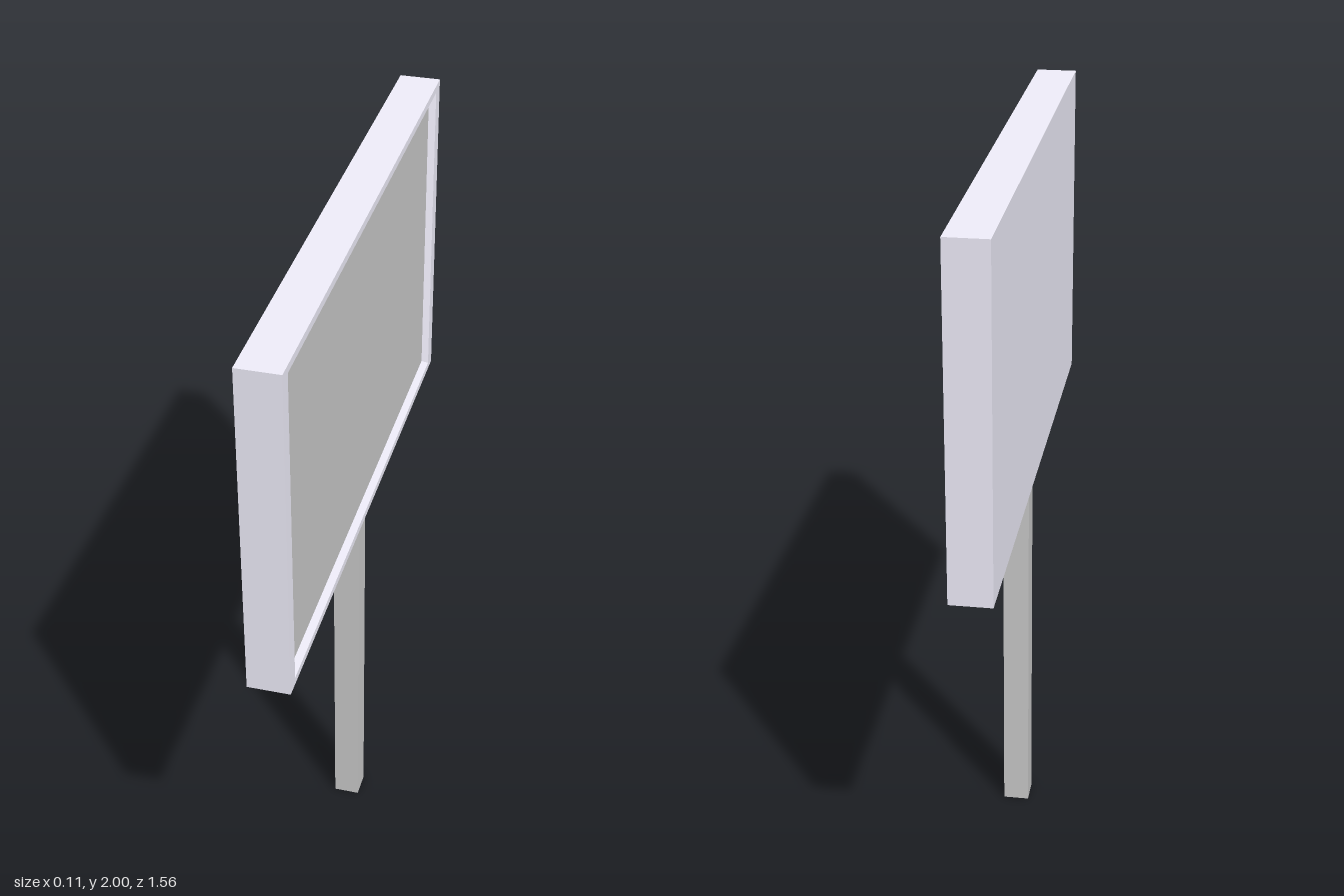
import * as THREE from 'three';

const FACE = 0.056, DEPTH = 0.015; // half thickness of the board, depth of the recess

// Rectangular loop at a given x, counter-clockwise seen from +x
const loop = (x, zLeft, zRight, y0, y1) => [
  [x, y0, zLeft], [x, y0, zRight], [x, y1, zRight], [x, y1, zLeft],
];

function quads(list) {
  const pos = [];
  for (const [a, b, c, d] of list) pos.push(...a, ...b, ...c, ...a, ...c, ...d);
  const geo = new THREE.BufferGeometry();
  geo.setAttribute('position', new THREE.Float32BufferAttribute(pos, 3));
  geo.computeVertexNormals();
  return geo;
}

export function createModel() {
  const group = new THREE.Group();
  const add = (name, geo, color) => {
    const mesh = new THREE.Mesh(geo, new THREE.MeshStandardMaterial({ color }));
    mesh.name = name;
    group.add(mesh);
    return mesh;
  };

  // Board casing: back edge, front edge, opening, and the bevelled recess bottom
  const loops = [
    loop(-FACE, 0.78, -0.78, 1.08, 2),
    loop(FACE, 0.78, -0.78, 1.08, 2),
    loop(FACE, 0.74, -0.735, 1.1, 1.98),
    loop(FACE - DEPTH, 0.74, -0.71, 1.12, 1.98),
  ];
  const faces = [[...loops[0]].reverse()]; // flat back
  for (let k = 0; k < 3; k++) {
    for (let i = 0; i < 4; i++) {
      const j = (i + 1) % 4;
      faces.push([loops[k][i], loops[k][j], loops[k + 1][j], loops[k + 1][i]]);
    }
  }
  add('boardCasing', quads(faces), 0xf2f0fd);

  // Recessed display panel facing +x
  add('displayPanel', quads([loops[3]]), 0xcccccc);

  // Square support post
  add('post', new THREE.BoxGeometry(0.072, 1.08, 0.072), 0xcccccc).position.y = 0.54;

  return group;
}
